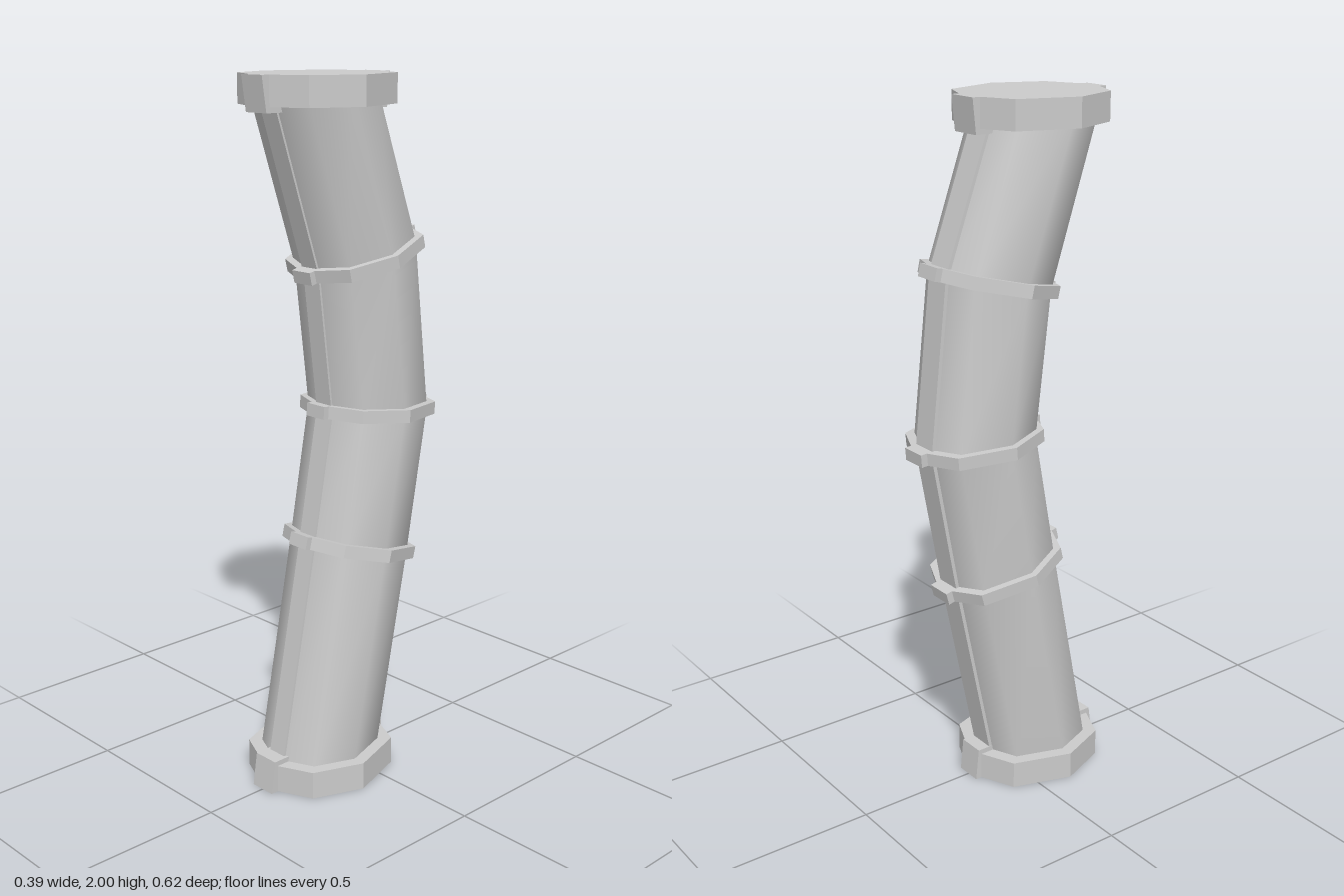
import * as THREE from 'three';
import { toCreasedNormals } from 'three/addons/utils/BufferGeometryUtils.js';

const FRONT = 0.03, BACK = 0.039; // half widths of the front and back ribs

// Stretched octagon in x/z with flattened front and back points, optionally with square tabs there
function outline(s, wf, wb, tab = 0) {
  const end = (w, sign) => {
    const z = sign * (0.22 * s - 0.45 * w), x = sign * w;
    return tab ? [[x, z], [x, sign * tab], [-x, sign * tab], [-x, z]] : [[x, z], [-x, z]];
  };
  const x = 0.14 * s, z = 0.157 * s, side = 0.197 * s, mid = 0.013 * s;
  return [[side, mid], [x, z], ...end(wf, 1), [-x, z], [-side, mid], [-x, -z], ...end(wb, -1), [x, -z]];
}

const rect = (w, z0, z1) => [[w, z0], [w, z1], [-w, z1], [-w, z0]];

// Closed solid between two tilted cross-sections; a frame is { y, z, tilt }
function loft(bottom, top, f0, f1) {
  const place = (f) => ([x, z]) => [x, f.y + z * Math.sin(f.tilt), f.z + z * Math.cos(f.tilt)];
  const a = bottom.map(place(f0)), b = top.map(place(f1));
  const pos = [], n = a.length;
  const tri = (...p) => p.forEach((v) => pos.push(...v));
  for (let i = 0; i < n; i++) {
    const j = (i + 1) % n;
    tri(a[i], b[i], a[j]);
    tri(a[j], b[i], b[j]);
  }
  const faces = THREE.ShapeUtils.triangulateShape(bottom.map(([x, z]) => new THREE.Vector2(x, z)), []);
  for (const [i, j, k] of faces) {
    tri(a[i], a[j], a[k]);
    tri(b[k], b[j], b[i]);
  }
  const g = new THREE.BufferGeometry();
  g.setAttribute('position', new THREE.Float32BufferAttribute(pos, 3));
  g.computeVertexNormals();
  return g;
}

export function createModel() {
  const model = new THREE.Group();
  const flat = new THREE.MeshStandardMaterial({ color: 0xcccccc, flatShading: true });
  const smooth = new THREE.MeshStandardMaterial({ color: 0xcccccc });
  const add = (name, geometry, material = flat) => {
    const mesh = new THREE.Mesh(geometry, material);
    mesh.name = name;
    model.add(mesh);
  };

  // Bent centre line: ends inside the caps, joints at the rings
  const frames = [
    { y: 0.04, z: 0.093, tilt: 0 },
    { y: 0.672, z: -0.033, tilt: 0.25 },
    { y: 1.07, z: -0.106, tilt: 0.08 },
    { y: 1.511, z: -0.055, tilt: -0.23 },
    { y: 1.96, z: 0.1, tilt: 0 },
  ];

  // Pipe segments with a rib along the front and back
  const pipe = outline(0.81, FRONT, BACK);
  const frontRib = rect(FRONT, 0.13, 0.171), backRib = rect(BACK, -0.171, -0.13);
  for (let i = 0; i < 4; i++) {
    const f0 = frames[i], f1 = frames[i + 1];
    add('pipeSegment' + (i + 1), toCreasedNormals(loft(pipe, pipe, f0, f1), 0.95), smooth);
    add('frontRib' + (i + 1), loft(frontRib, frontRib, f0, f1));
    add('backRib' + (i + 1), loft(backRib, backRib, f0, f1));
  }

  // Tilted rings over the joints
  const ring = outline(0.92, FRONT + 0.005, BACK, 0.204);
  for (let i = 1; i < 4; i++) {
    const { y, z, tilt } = frames[i];
    const shift = (d) => ({ y: y + d * Math.cos(tilt), z: z - d * Math.sin(tilt), tilt });
    add('jointRing' + i, loft(ring, ring, shift(-0.018), shift(0.018)));
  }

  // End caps with slightly tapered clamps front and back
  const cap = outline(1, 0.04, 0.04);
  const level = (y) => ({ y, z: 0.084, tilt: 0 });
  const clamps = (wBack) => [
    [rect(0.04, 0.13, 0.226), rect(0.04, 0.13, 0.212)],
    [rect(wBack, -0.222, -0.13), rect(wBack, -0.212, -0.13)],
  ];
  add('bottomCap', loft(cap, cap, level(0), level(0.08)));
  add('topCap', loft(cap, cap, level(1.92), level(2)));
  for (const [wide, narrow] of clamps(0.04)) add('bottomClamp', loft(wide, narrow, level(0), level(0.095)));
  for (const [wide, narrow] of clamps(0.047)) add('topClamp', loft(narrow, wide, level(1.905), level(2)));

  return model;
}
